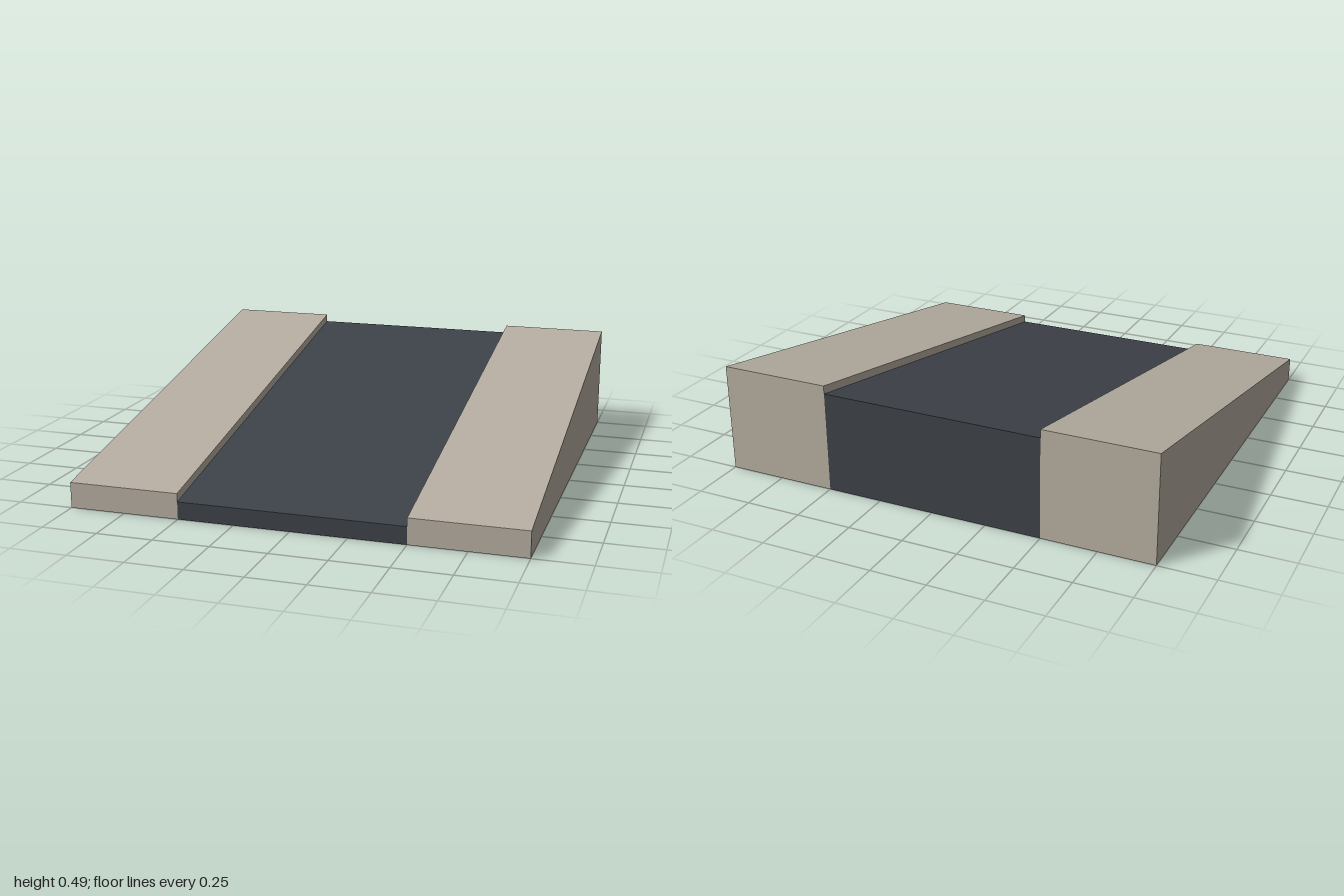
import * as THREE from 'three';

const stone = new THREE.MeshStandardMaterial({ name: 'warm stone', color: 0xb5ada0, side: THREE.DoubleSide });
const asphalt = new THREE.MeshStandardMaterial({ name: 'dark asphalt', color: 0x3d4248, side: THREE.DoubleSide });

// Open-bottomed wedge shell: slope, front and back, with optional side walls
function wedgeShell(x0, x1, frontHeight, backHeight, withSides) {
  const corner = (x, y, z) => [x, y, z];
  const side = (x) => [
    corner(x, 0, 1), corner(x, frontHeight, 1),
    corner(x, backHeight, -1), corner(x, 0, -1),
  ];
  const l = side(x0), r = side(x1);
  const quads = [];
  // Front, slope and back panels
  for (let i = 0; i < 3; i++) quads.push([l[i], r[i], r[i + 1], l[i + 1]]);
  // Side walls
  if (withSides) quads.push([l[0], l[1], l[2], l[3]], [r[0], r[3], r[2], r[1]]);

  const positions = quads.flatMap(([a, b, c, d]) => [a, b, c, a, c, d].flat());
  const geometry = new THREE.BufferGeometry();
  geometry.setAttribute('position', new THREE.Float32BufferAttribute(positions, 3));
  geometry.computeVertexNormals();
  return geometry;
}

export function createModel() {
  const model = new THREE.Group();
  model.name = 'ramp';

  const add = (name, geometry, material) => {
    const mesh = new THREE.Mesh(geometry, material);
    mesh.name = name;
    model.add(mesh);
  };

  // Raised kerbs on both sides
  add('leftKerb', wedgeShell(0.5, 1, 0.115, 0.49, true), stone);
  add('rightKerb', wedgeShell(-1, -0.5, 0.115, 0.49, true), stone);

  // Sunken roadway between them; the kerbs close its sides
  add('roadway', wedgeShell(-0.5, 0.5, 0.078, 0.453, false), asphalt);

  return model;
}
